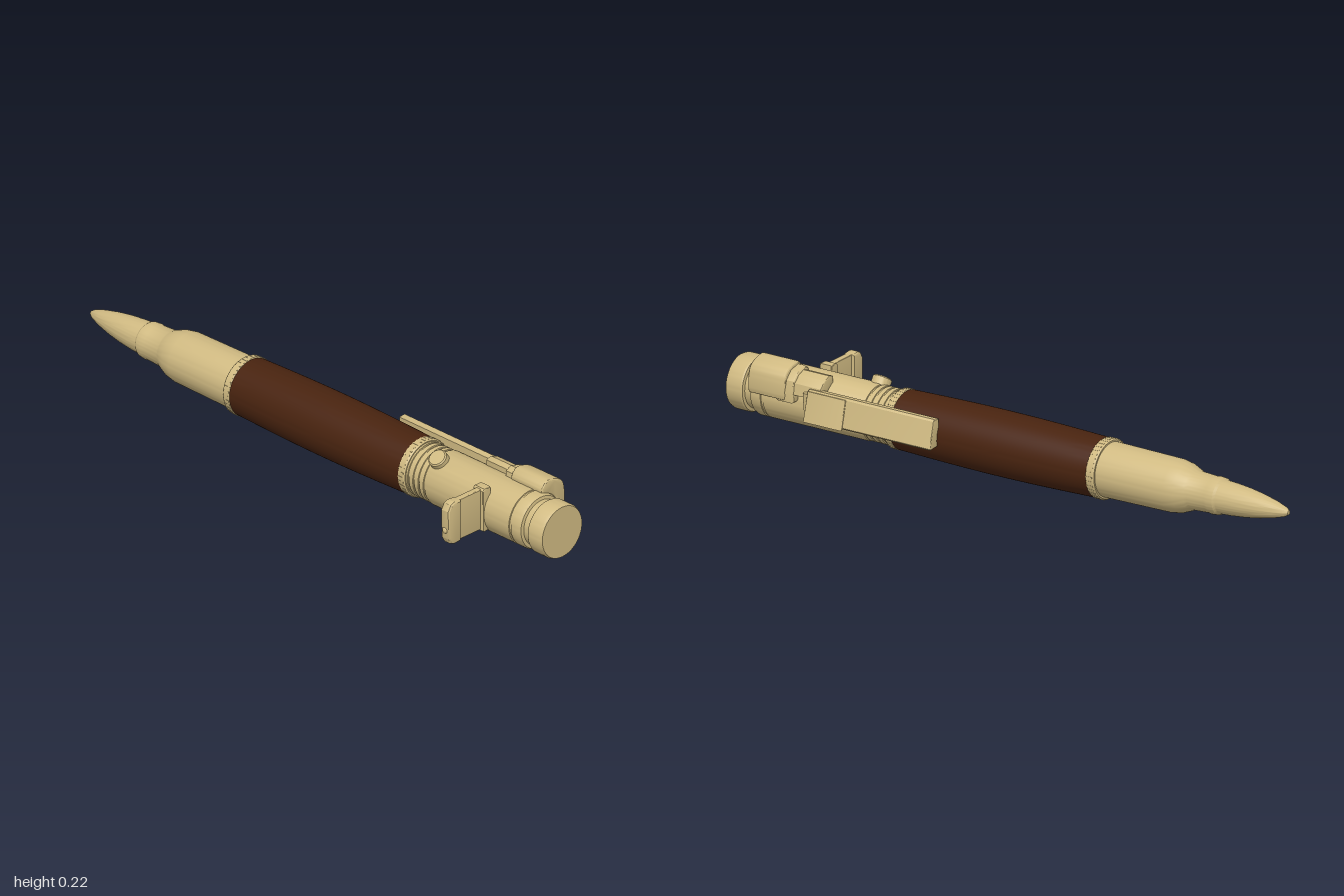
import * as THREE from 'three';
import { toCreasedNormals } from 'three/addons/utils/BufferGeometryUtils.js';

const AXIS_Y = 0.1, AXIS_Z = -0.05;

export function createModel() {
  const group = new THREE.Group();
  const brass = new THREE.MeshStandardMaterial({ color: 0xd0ba82 });
  brass.name = 'brass';
  const wood = new THREE.MeshStandardMaterial({ color: 0x48230f });
  wood.name = 'darkWood';

  const add = (name, geometry, material = brass) => {
    const mesh = new THREE.Mesh(toCreasedNormals(geometry, 0.5), material);
    mesh.name = name;
    group.add(mesh);
    return mesh;
  };

  // Turned part around the long axis; profile is [x, radius] from tip to end
  const turned = (name, profile, material) => {
    const g = new THREE.LatheGeometry(profile.map(([x, r]) => new THREE.Vector2(r, x)), 64);
    g.rotateZ(-Math.PI / 2).translate(0, AXIS_Y, AXIS_Z);
    return add(name, g, material);
  };

  // Part with a [z, y] section, running from x0 to x1 with rounded edges
  const section = (name, x0, x1, pts, bevel = 0.004, smooth = false) => {
    const v = pts.map(([z, y]) => new THREE.Vector2(-z, y));
    const shape = smooth
      ? new THREE.Shape(new THREE.SplineCurve([...v, v[0]]).getPoints(48).slice(0, -1))
      : new THREE.Shape(v);
    const g = new THREE.ExtrudeGeometry(shape, {
      depth: x1 - x0 - 2 * bevel, bevelThickness: bevel, bevelSize: bevel,
      bevelOffset: -bevel, bevelSegments: 3,
    });
    g.rotateY(Math.PI / 2).translate(x0 + bevel, 0, 0);
    return add(name, g);
  };

  // Pointed nose and stepped shoulder
  turned('nose', [[-1, 0], [-0.998, 0.007], [-0.985, 0.015], [-0.95, 0.026], [-0.9, 0.037],
    [-0.85, 0.045], [-0.8, 0.05], [-0.762, 0.052], [-0.755, 0.057], [-0.735, 0.059],
    [-0.725, 0.057], [-0.665, 0.06], [-0.655, 0.065], [-0.625, 0.077], [-0.59, 0.083],
    [-0.345, 0.086], [-0.335, 0.086]]);

  // Barrel
  const barrel = [];
  for (let i = 0; i <= 16; i++) {
    const t = i / 16;
    barrel.push([-0.325 + 0.73 * t, 0.093 + 0.007 * Math.sin(Math.PI * t)]);
  }
  turned('barrel', barrel, wood);

  // Collars at both ends of the barrel
  for (const [name, x, r] of [['frontCollar', -0.333, 0.095], ['rearCollar', 0.407, 0.094]]) {
    turned(name, [[x - 0.016, 0.07], [x - 0.016, r - 0.004], [x - 0.01, r],
      [x + 0.01, r], [x + 0.016, r - 0.004], [x + 0.016, 0.07]]);
    const teeth = new THREE.Group();
    teeth.name = name + 'Teeth';
    const tooth = new THREE.BoxGeometry(0.022, 0.005, 0.005);
    for (let i = 0; i < 40; i++) {
      const a = i / 40 * Math.PI * 2;
      const m = new THREE.Mesh(tooth, brass);
      m.name = 'collarTooth';
      m.position.set(x, AXIS_Y + Math.cos(a) * (r - 0.002), AXIS_Z + Math.sin(a) * (r - 0.002));
      m.rotation.x = a;
      teeth.add(m);
    }
    group.add(teeth);
  }

  // Rear housing with grooves, narrow neck and end cap
  const rear = [[0.4, 0.086]];
  for (const x of [0.43, 0.452, 0.474, 0.496]) {
    rear.push([x, 0.087], [x + 0.001, 0.084], [x + 0.006, 0.084], [x + 0.007, 0.087]);
  }
  rear.push([0.51, 0.089], [0.862, 0.089], [0.863, 0.086], [0.87, 0.086], [0.871, 0.089],
    [0.9, 0.089], [0.91, 0.085], [0.912, 0.075], [0.937, 0.075], [0.939, 0.085],
    [0.944, 0.088], [0.99, 0.088], [1, 0.084], [1, 0]);
  turned('rearHousing', rear);

  // Round button on the upper front of the housing
  const button = new THREE.LatheGeometry([[0.03, -0.02], [0.03, 0.006], [0.026, 0.01], [0, 0.011]]
    .map(([r, y]) => new THREE.Vector2(r, y)), 32);
  button.rotateX(Math.atan2(0.58, 0.81)).translate(0.52, 0.186, -0.004);
  add('button', button);

  // Bolt handle: mounting pad, flat paddle and thick rounded end
  section('handlePad', 0.713, 0.757, [[0.0, 0.045], [0.036, 0.041], [0.043, 0.046],
    [0.043, 0.18], [0.036, 0.186], [0.01, 0.186]]);
  section('handlePaddle', 0.724, 0.746, [[0.03, 0.047], [0.16, 0.047], [0.16, 0.183], [0.03, 0.183]]);
  section('handleEnd', 0.716, 0.754, [[0.13, 0.045], [0.158, 0.043], [0.173, 0.049], [0.183, 0.068],
    [0.184, 0.16], [0.173, 0.179], [0.158, 0.186], [0.13, 0.183]], 0.01);
  const nub = new THREE.SphereGeometry(0.012, 16, 12);
  nub.translate(0.735, 0.093, 0.177);
  add('handleNub', nub);

  // Pocket clip along the back
  section('clipBar', 0.22, 0.68, [[-0.137, 0.082], [-0.18, 0.078], [-0.184, 0.083],
    [-0.164, 0.165], [-0.158, 0.171], [-0.137, 0.168]], 0.003);
  section('clipPlate', 0.54, 0.68, [[-0.16, 0.078], [-0.19, 0.075], [-0.166, 0.166], [-0.15, 0.166]], 0.003);

  // Linkage between clip and head
  section('clipNeck', 0.64, 0.76, [[-0.085, 0.17], [-0.085, 0.199], [-0.105, 0.205],
    [-0.13, 0.196], [-0.151, 0.175], [-0.158, 0.14], [-0.135, 0.13], [-0.12, 0.155]]);
  section('clipPivot', 0.665, 0.70, [[-0.13, 0.1], [-0.16, 0.1], [-0.163, 0.155], [-0.13, 0.165]]);

  // Curved head wrapping the housing, thinner toward the clip
  section('clipHeadFront', 0.735, 0.80, [[-0.07, 0.185], [-0.073, 0.202], [-0.092, 0.214],
    [-0.13, 0.204], [-0.153, 0.18], [-0.161, 0.145], [-0.16, 0.112], [-0.13, 0.112],
    [-0.125, 0.15]], 0.008);
  section('clipHead', 0.765, 0.9, [[-0.066, 0.182], [-0.067, 0.202], [-0.09, 0.222],
    [-0.13, 0.214], [-0.155, 0.197], [-0.164, 0.165], [-0.164, 0.125], [-0.155, 0.115],
    [-0.13, 0.115], [-0.122, 0.15], [-0.1, 0.172]], 0.008, true);

  return group;
}
